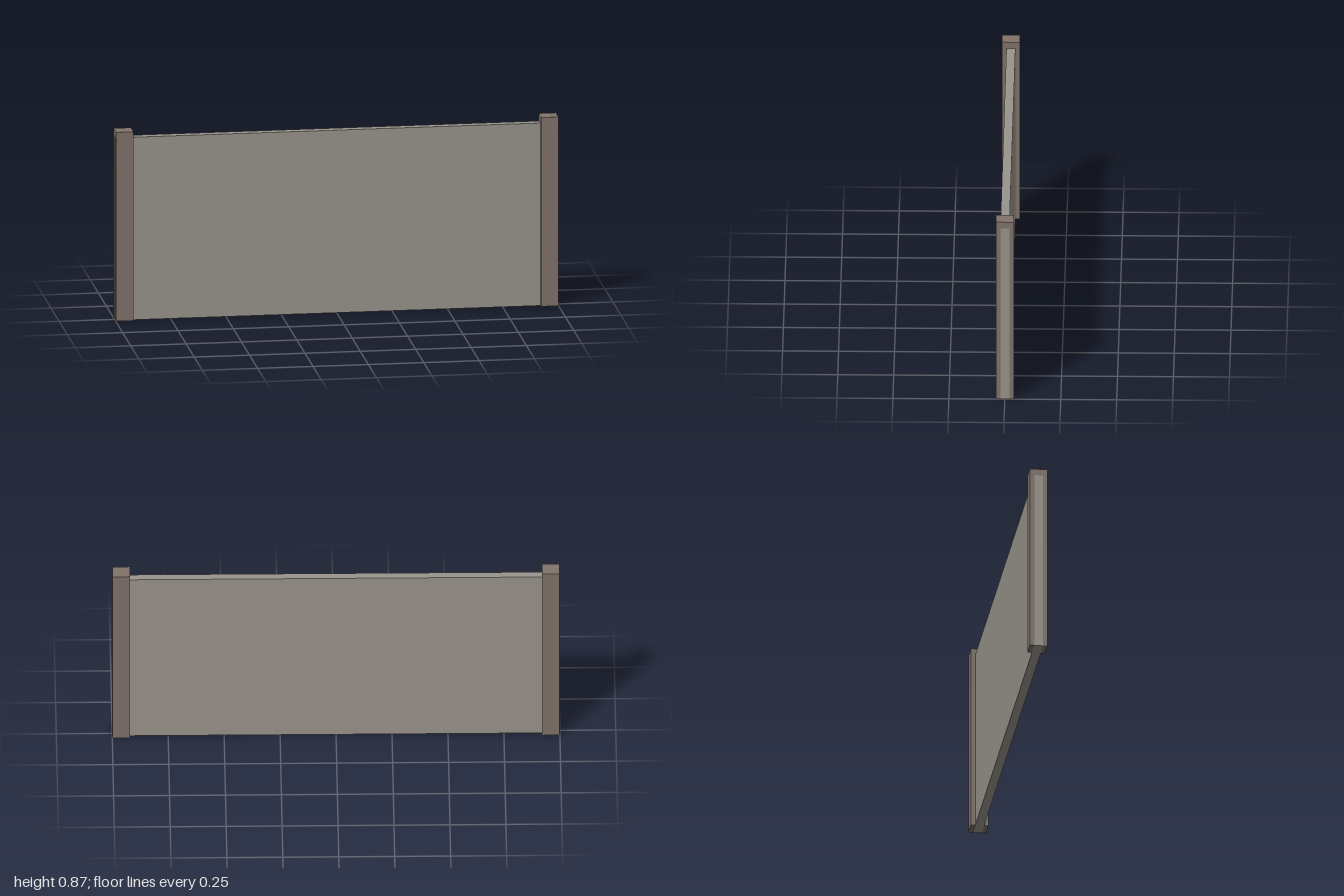
import * as THREE from 'three';

export function createModel() {
  const model = new THREE.Group();
  model.name = 'wallSection';

  const panelGrey = new THREE.MeshStandardMaterial({ color: 0x99948c });
  panelGrey.name = 'panelGrey';
  const postBrown = new THREE.MeshStandardMaterial({ color: 0x80736a });
  postBrown.name = 'postBrown';

  function box(name, material, w, h, d, x, bottom) {
    const mesh = new THREE.Mesh(new THREE.BoxGeometry(w, h, d), material);
    mesh.name = name;
    mesh.position.set(x, bottom + h / 2, 0);
    model.add(mesh);
  }

  // Panel runs through both posts, its ends showing on their outer faces
  box('panel', panelGrey, 2, 0.84, 0.04, 0, 0);

  // Square end posts, a hair inside the panel ends so faces do not coincide
  for (const [name, side] of [['leftPost', 1], ['rightPost', -1]]) {
    box(name, postBrown, 0.079, 0.869, 0.08, side * 0.9595, 0.001);
  }

  return model;
}
